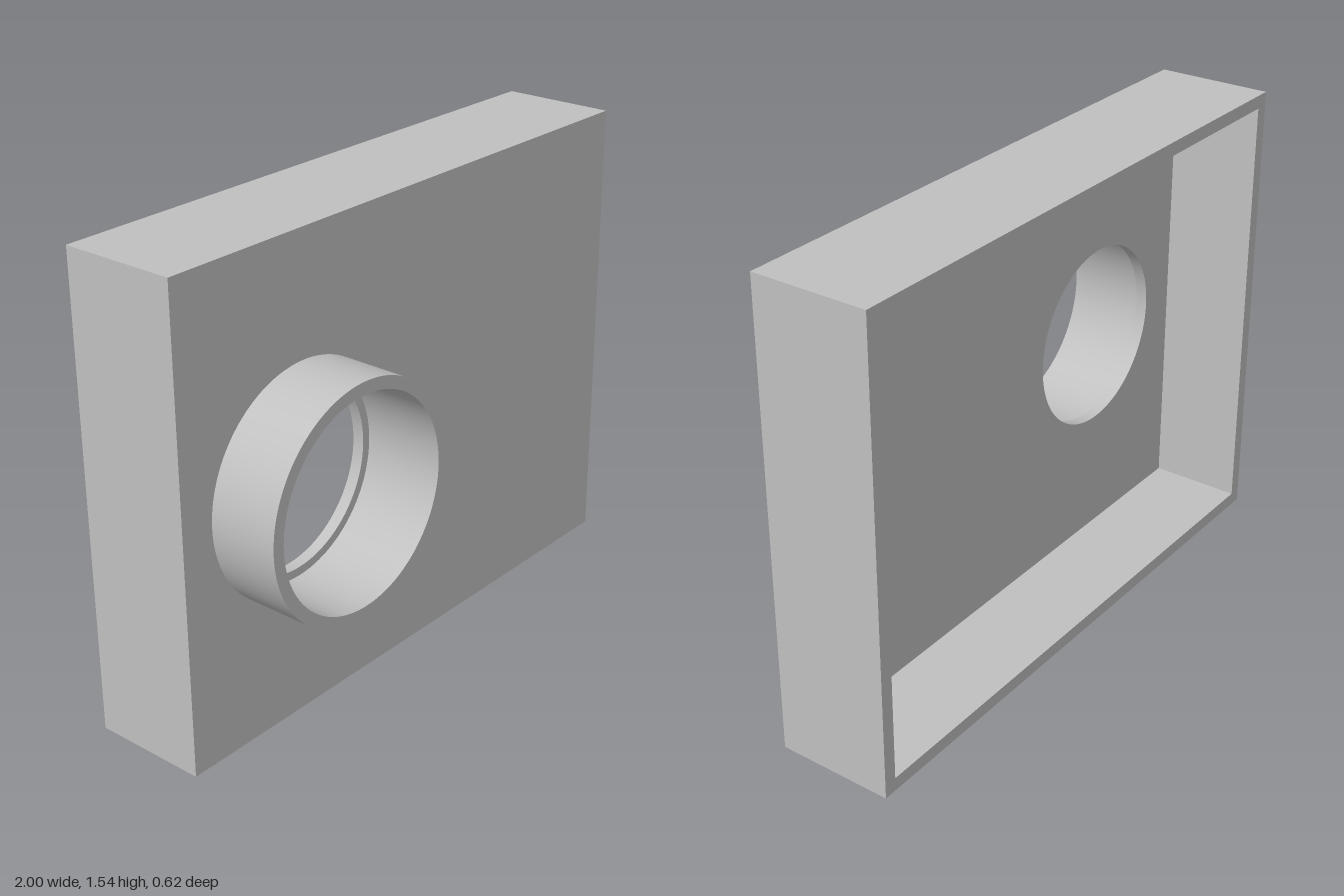
import * as THREE from 'three';
import { toCreasedNormals } from 'three/addons/utils/BufferGeometryUtils.js';

const W = 2, H = 1.54, WALL = 0.044;
const CX = -0.51, CY = 0.77;                     // centre of the opening
const BACK = -0.308, INNER = 0, LEDGE = 0.039, FACE = 0.077, FRONT = 0.308;
const R_OUT = 0.377, R_BORE = 0.337, R_HOLE = 0.309;

function rectangle(path, inset) {
  const x = W / 2 - inset;
  path.moveTo(-x, inset);
  path.lineTo(x, inset);
  path.lineTo(x, H - inset);
  path.lineTo(-x, H - inset);
  path.closePath();
  return path;
}

const circle = (path, r) => path.absarc(CX, CY, r, 0, Math.PI * 2);

// Extrude an outline with one hole between two depths, with sharp edges and smooth curves
function slab(name, outline, hole, z0, z1, material) {
  outline.holes.push(hole);
  const geometry = new THREE.ExtrudeGeometry(outline, {
    depth: z1 - z0, bevelEnabled: false, curveSegments: 96,
  });
  geometry.translate(0, 0, z0);
  const mesh = new THREE.Mesh(toCreasedNormals(geometry, Math.PI / 6), material);
  mesh.name = name;
  return mesh;
}

export function createModel() {
  const grey = new THREE.MeshStandardMaterial({ color: 0xc0c0c0 });
  grey.name = 'grey';

  const model = new THREE.Group();
  model.name = 'coverWithCollar';
  const { Shape, Path } = THREE;

  model.add(
    // Side walls around the open back
    slab('sideWalls', rectangle(new Shape(), 0), rectangle(new Path(), WALL), BACK, INNER, grey),
    // Inner half of the front panel, leaving a narrow ledge inside the collar
    slab('ledgePanel', rectangle(new Shape(), 0), circle(new Path(), R_HOLE), INNER, LEDGE, grey),
    // Outer half of the front panel, fitted around the collar
    slab('facePanel', rectangle(new Shape(), 0), circle(new Path(), R_OUT), LEDGE, FACE, grey),
    // Round collar standing out of the front
    slab('collar', circle(new Shape(), R_OUT), circle(new Path(), R_BORE), LEDGE, FRONT, grey),
  );
  return model;
}
